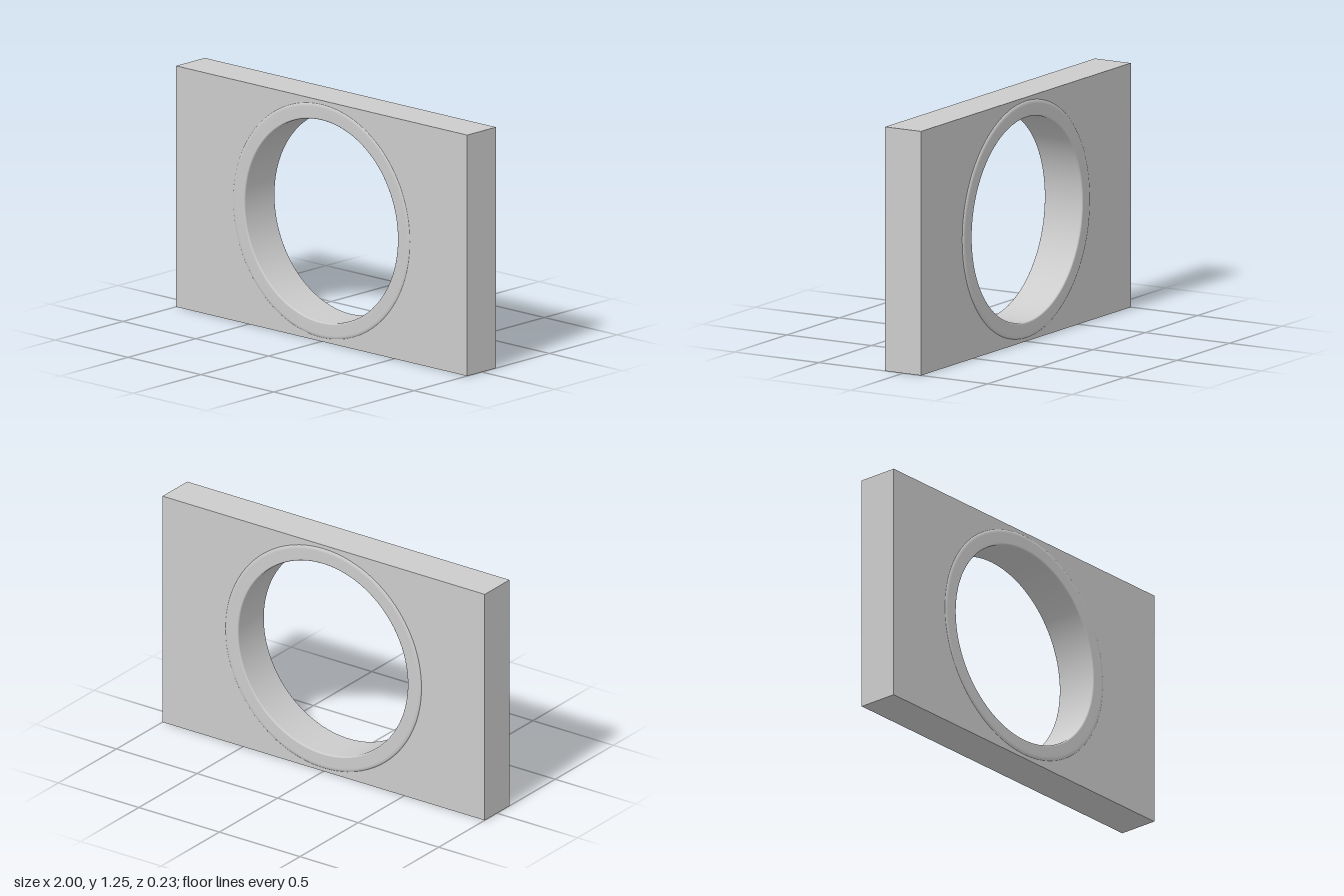
import * as THREE from 'three';

const CENTRE_Y = 0.627;

// Closed ring section: outer wall up, front face, bore down, back face
function ringProfile(inner, outer, half, roundOut, roundIn, depth) {
  const pts = [];
  const corner = (cx, cy, rx, ry, start) => {
    for (let i = 0; i <= 6; i++) {
      const a = start + (i / 6) * Math.PI / 2;
      pts.push(new THREE.Vector2(cx + rx * Math.cos(a), cy + ry * Math.sin(a)));
    }
  };
  pts.push(new THREE.Vector2(inner, 0));
  corner(inner + roundIn, -half + roundIn, roundIn, roundIn, Math.PI);
  corner(outer - roundOut, -half + depth, roundOut, depth, -Math.PI / 2);
  corner(outer - roundOut, half - depth, roundOut, depth, 0);
  corner(inner + roundIn, half - roundIn, roundIn, roundIn, Math.PI / 2);
  pts.push(new THREE.Vector2(inner, 0));
  return pts;
}

export function createModel() {
  const model = new THREE.Group();
  const material = new THREE.MeshStandardMaterial({ color: 0xcccccc });

  // Rectangular plate with a round opening
  const w = 1, h = 1.254, back = -0.105, front = 0.108;
  const shape = new THREE.Shape();
  shape.moveTo(-w, 0).lineTo(w, 0).lineTo(w, h).lineTo(-w, h).closePath();
  const hole = new THREE.Path();
  hole.absarc(0, CENTRE_Y, 0.565, 0, Math.PI * 2, true);
  shape.holes.push(hole);
  const plateGeometry = new THREE.ExtrudeGeometry(shape, {
    depth: front - back, bevelEnabled: false, curveSegments: 96,
  });
  plateGeometry.translate(0, 0, back);
  const plate = new THREE.Mesh(plateGeometry, material);
  plate.name = 'plate';
  model.add(plate);

  // Rounded ring lining the opening, slightly proud of both faces
  const ringGeometry = new THREE.LatheGeometry(
    ringProfile(0.525, 0.608, 0.113, 0.02, 0.008, 0.009), 128);
  ringGeometry.rotateX(Math.PI / 2);
  const ring = new THREE.Mesh(ringGeometry, material);
  ring.name = 'ring';
  ring.position.y = CENTRE_Y;
  model.add(ring);

  return model;
}
